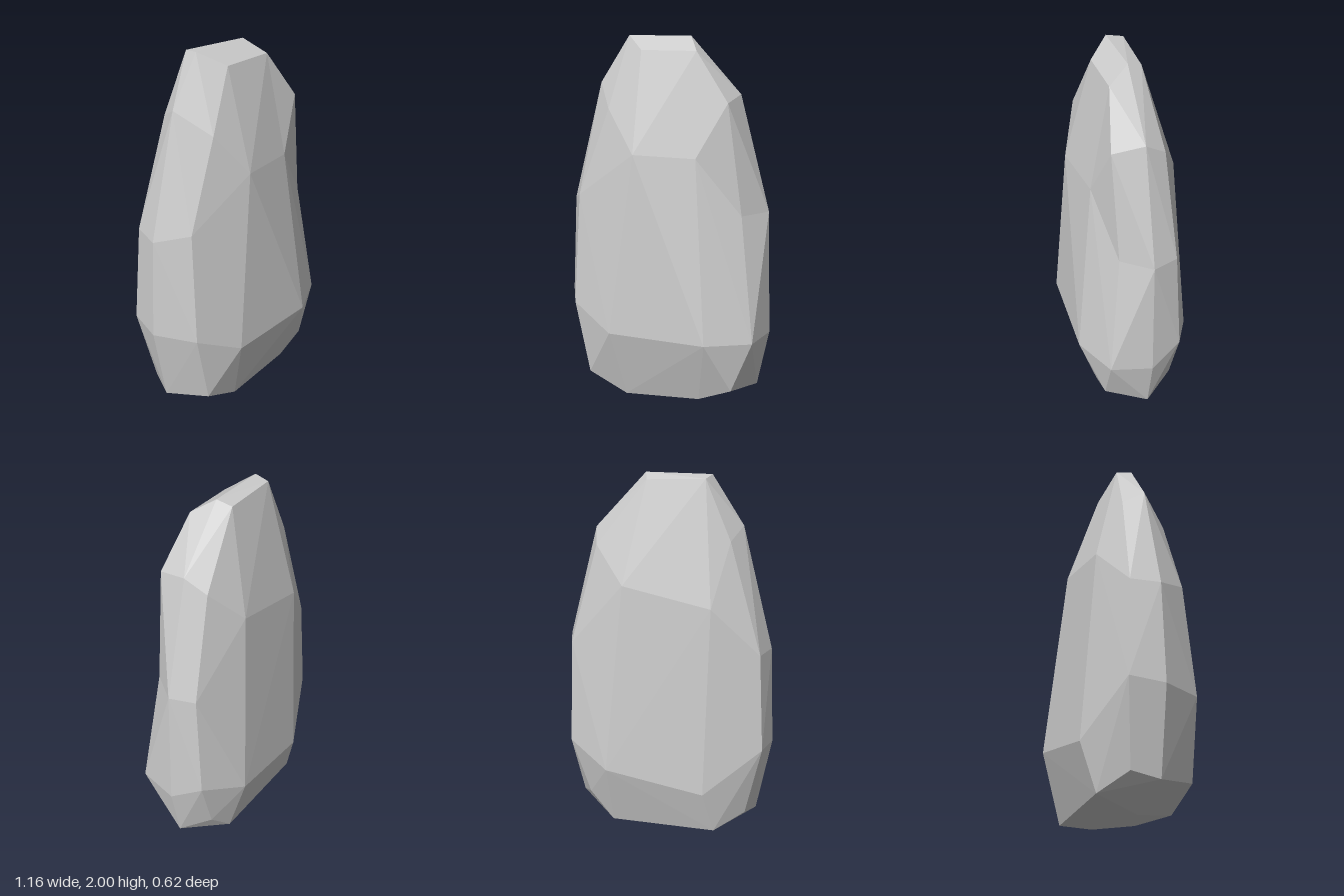
import * as THREE from 'three';

const V = (x, y, z) => new THREE.Vector3(x, y, z);
const points = (list) => list.map((p) => V(...p));

// Side ridges, from the top down to the base
const rimRight = points([[-0.22, 2, -0.02], [-0.385, 1.75, -0.02], [-0.555, 1.1, -0.02],
  [-0.585, 0.55, -0.02], [-0.51, 0.11, -0.02], [-0.26, 0, -0.02]]);
const rimLeft = points([[0.12, 2, -0.02], [0.39, 1.71, -0.02], [0.555, 1.1, -0.02],
  [0.58, 0.42, -0.02], [0.52, 0.1, -0.02], [0.31, 0.04, -0.02]]);

// Broad face ridges: top, shoulder, belly, base
const frontRight = points([[-0.115, 1.93, 0.09], [-0.115, 1.41, 0.24], [-0.24, 0.43, 0.3], [-0.18, 0.035, 0.2]]);
const frontLeft = points([[0.18, 1.93, 0.09], [0.21, 1.4, 0.2], [0.295, 0.43, 0.31], [0.24, 0.065, 0.2]]);
const backLeft = points([[0.1, 1.975, -0.095], [0.2, 1.46, -0.24], [0.295, 0.42, -0.315], [0.29, 0.04, -0.21]]);
const backRight = points([[-0.2, 1.99, -0.105], [-0.26, 1.37, -0.25], [-0.245, 0.33, -0.315], [-0.3, 0.07, -0.25]]);

// Bevel ridges between the broad faces and the sides
const bevelFR = points([[-0.28, 1.63, 0.145], [-0.455, 1.16, 0.155], [-0.48, 0.55, 0.2], [-0.4, 0.14, 0.2]]);
const bevelFL = points([[0.36, 1.68, 0.14], [0.44, 1.1, 0.125], [0.53, 0.43, 0.2], [0.42, 0.14, 0.2]]);
const bevelBL = points([[0.36, 1.64, -0.13], [0.51, 1.1, -0.155], [0.53, 0.52, -0.19], [0.43, 0.19, -0.18]]);
const bevelBR = points([[-0.335, 1.69, -0.13], [-0.51, 1.11, -0.17], [-0.545, 0.575, -0.195], [-0.46, 0.15, -0.15]]);

// Bring every ridge to six points; bevels share the ends of their broad face
const face = ([top, shoulder, belly, base]) => [top, top, shoulder, belly, base, base];
const bevel = (mid, ridge) => [ridge[0], ...mid, ridge[3]];

export function createModel() {
  const position = [];
  const tri = (a, b, c) => {
    if (a === b || b === c || a === c) return;
    for (const p of [a, b, c]) position.push(p.x, p.y, p.z);
  };
  // Split each quad along the diagonal that keeps it convex
  const quad = (a, b, c, d) => {
    const normal = b.clone().sub(a).cross(c.clone().sub(a));
    if (a === d || b === c || normal.dot(d.clone().sub(a)) <= 0) {
      tri(a, b, c);
      tri(a, c, d);
    } else {
      tri(a, b, d);
      tri(b, c, d);
    }
  };

  // Faceted sides, ridge to ridge around the stone
  const ridges = [
    rimRight, bevel(bevelFR, frontRight), face(frontRight), face(frontLeft), bevel(bevelFL, frontLeft),
    rimLeft, bevel(bevelBL, backLeft), face(backLeft), face(backRight), bevel(bevelBR, backRight),
  ];
  ridges.forEach((ridge, i) => {
    const next = ridges[(i + 1) % ridges.length];
    for (let r = 0; r < 5; r++) quad(ridge[r], ridge[r + 1], next[r + 1], next[r]);
  });

  // Top and base, each folded along the middle
  quad(rimRight[0], frontRight[0], frontLeft[0], rimLeft[0]);
  quad(rimLeft[0], backLeft[0], backRight[0], rimRight[0]);
  quad(rimLeft[5], frontLeft[3], frontRight[3], rimRight[5]);
  quad(rimRight[5], backRight[3], backLeft[3], rimLeft[5]);

  const geometry = new THREE.BufferGeometry();
  geometry.setAttribute('position', new THREE.Float32BufferAttribute(position, 3));
  geometry.computeVertexNormals();
  const stone = new THREE.Mesh(geometry, new THREE.MeshStandardMaterial({ color: 0xcccccc, flatShading: true }));
  stone.name = 'standingStone';

  const group = new THREE.Group();
  group.name = 'rock';
  group.add(stone);
  return group;
}
